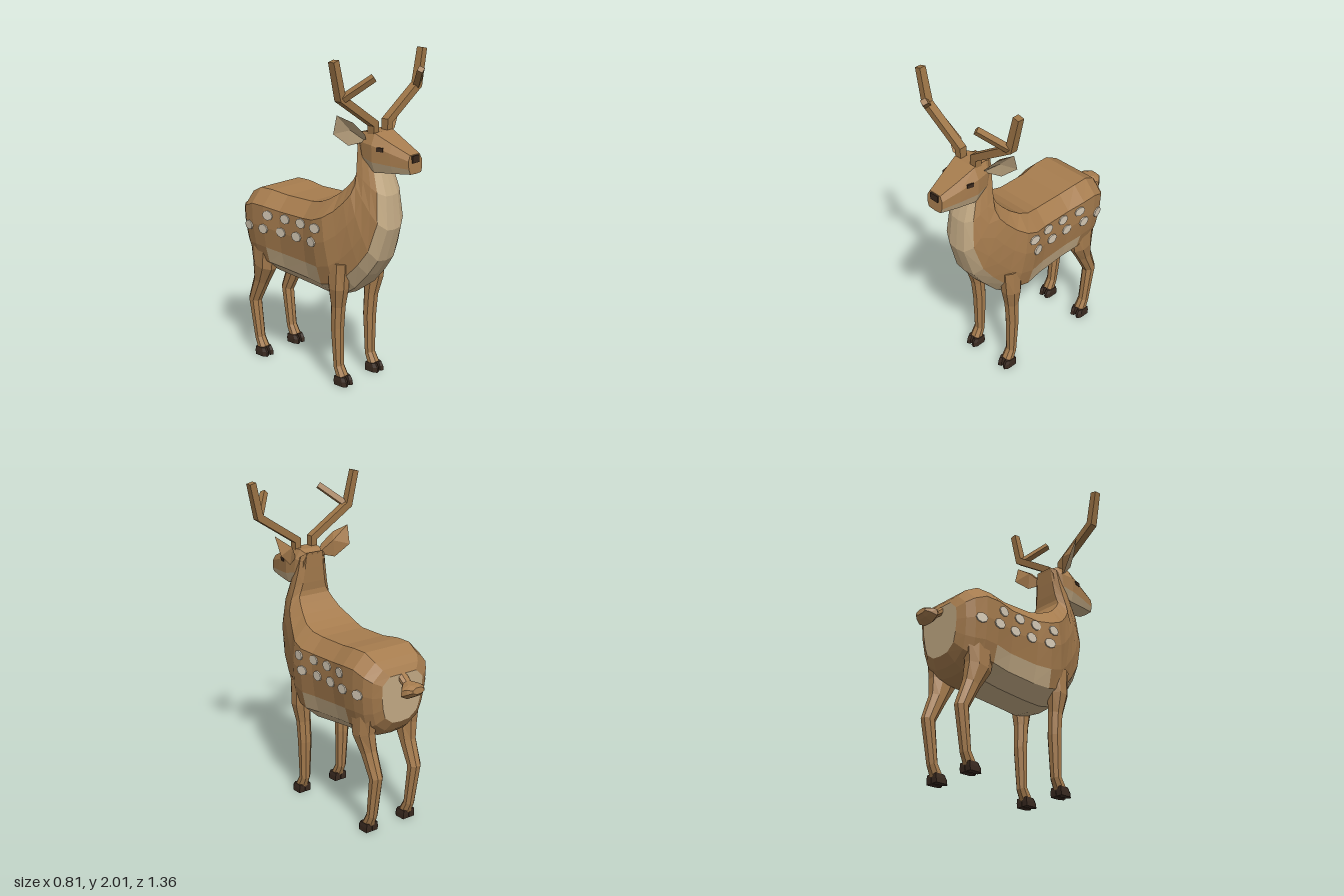
import * as THREE from 'three';

const mat = (name, color) => {
  const m = new THREE.MeshStandardMaterial({ color, flatShading: true });
  m.name = name;
  return m;
};
const coat = mat('coat brown', 0xa67c4e);
const cream = mat('cream fur', 0xc6ad87);
const spotWhite = mat('spot white', 0xd6cab6);
const antlerBrown = mat('antler brown', 0x9c7446);
const hoofDark = mat('hoof dark', 0x3a2a20);
const dark = mat('nose and eye dark', 0x3a291d);

const V = (x, y, z) => new THREE.Vector3(x, y, z);

// Closed faceted solid from triangle lists, one list per material, always facing outward
function solid(name, lists, materials) {
  let volume = 0;
  for (const l of lists)
    for (let i = 0; i < l.length; i += 3) volume += l[i].dot(l[i + 1].clone().cross(l[i + 2]));
  const geo = new THREE.BufferGeometry();
  const pts = [];
  lists.forEach((l, m) => {
    geo.addGroup(pts.length, l.length, m);
    for (let i = 0; i < l.length; i += 3)
      pts.push(l[i], ...(volume < 0 ? [l[i + 2], l[i + 1]] : [l[i + 1], l[i + 2]]));
  });
  geo.setFromPoints(pts);
  geo.computeVertexNormals();
  const mesh = new THREE.Mesh(geo, materials);
  mesh.name = name;
  return mesh;
}

// Skin over equal rings; pick(ring, side) gives the material index, ring -1 is the first cap
function loft(name, rings, materials, pick = () => 0) {
  const lists = materials.map(() => []);
  const n = rings[0].length;
  for (let r = 0; r < rings.length - 1; r++)
    for (let i = 0; i < n; i++) {
      const j = (i + 1) % n, a = rings[r], b = rings[r + 1];
      lists[pick(r, i)].push(a[i], a[j], b[j], a[i], b[j], b[i]);
    }
  [[rings[0], -1], [rings[rings.length - 1], rings.length - 1]].forEach(([ring, r]) => {
    const c = V(0, 0, 0);
    ring.forEach(p => c.addScaledVector(p, 1 / n));
    for (let i = 0; i < n; i++) {
      const j = (i + 1) % n;
      lists[pick(r, i)].push(c, ...(r < 0 ? [ring[j], ring[i]] : [ring[i], ring[j]]));
    }
  });
  return solid(name, lists, materials);
}

// Ring from a half profile [width, depth], hung between a top and a bottom point
function profileRing([tz, ty, bz, by, w], half) {
  const at = (s, [u, v]) => V(s * u * w, ty + (by - ty) * v, tz + (bz - tz) * v);
  return [...half.map(p => at(1, p)), ...half.slice(1, -1).reverse().map(p => at(-1, p))];
}

// Limb along points [x, y, z, radius across, radius along ref]
function sweep(name, path, sides, material, ref = V(0, 0, 1)) {
  const c = path.map(p => V(p[0], p[1], p[2]));
  const rings = path.map((p, k) => {
    const t = V(0, 0, 0);
    if (k > 0) t.add(c[k].clone().sub(c[k - 1]).normalize());
    if (k < c.length - 1) t.add(c[k + 1].clone().sub(c[k]).normalize());
    t.normalize();
    const n = t.clone().cross(ref).normalize(), b = n.clone().cross(t);
    return Array.from({ length: sides }, (_, i) => {
      const a = (i + 0.5) / sides * Math.PI * 2;
      return c[k].clone().addScaledVector(n, Math.cos(a) * p[3])
        .addScaledVector(b, Math.sin(a) * (p[4] ?? p[3]));
    });
  });
  return loft(name, rings, [material]);
}

// Body sections from rump to throat: top z, top y, bottom z, bottom y, half width
const BODY = [
  [-0.545, 1.0, -0.53, 0.70, 0.15], [-0.52, 1.04, -0.49, 0.64, 0.20],
  [-0.48, 1.08, -0.44, 0.60, 0.235], [-0.40, 1.12, -0.38, 0.585, 0.25],
  [-0.30, 1.12, -0.30, 0.575, 0.25], [-0.18, 1.105, -0.18, 0.56, 0.232],
  [0.02, 1.105, 0.02, 0.54, 0.232], [0.10, 1.12, 0.14, 0.53, 0.25],
  [0.17, 1.15, 0.24, 0.55, 0.245], [0.23, 1.19, 0.31, 0.60, 0.215],
  [0.28, 1.24, 0.40, 0.70, 0.19], [0.31, 1.28, 0.47, 0.80, 0.17],
  [0.315, 1.31, 0.53, 1.0, 0.145], [0.31, 1.36, 0.51, 1.2, 0.125],
  [0.305, 1.45, 0.46, 1.34, 0.105], [0.30, 1.55, 0.44, 1.42, 0.09],
];
const BODY_HALF = [[0, 0], [0.66, 0], [1, 0.16], [1, 0.4], [0.92, 0.65], [0.8, 0.84], [0.42, 0.98], [0, 1]];

const HEAD = [
  [0.30, 1.54, 0.32, 1.40, 0.08], [0.35, 1.565, 0.38, 1.36, 0.105],
  [0.44, 1.565, 0.45, 1.335, 0.115], [0.55, 1.515, 0.57, 1.345, 0.09],
  [0.665, 1.465, 0.675, 1.355, 0.06],
];
const HEAD_HALF = [[0, 0], [0.7, 0], [1, 0.28], [1, 0.7], [0.8, 0.97], [0, 1]];

// Flank half width and its slope at a given z
function flank(z) {
  const zs = BODY.map(r => r[0] + (r[2] - r[0]) * 0.3);
  let k = 0;
  while (zs[k + 1] < z) k++;
  const slope = (BODY[k + 1][4] - BODY[k][4]) / (zs[k + 1] - zs[k]);
  return [BODY[k][4] + slope * (z - zs[k]), slope];
}

function ear(s) {
  const P = (x, y, z) => V(s * x, y, z);
  const rim = [P(0.085, 1.51, 0.38), P(0.13, 1.56, 0.41), P(0.20, 1.635, 0.38),
    P(0.275, 1.68, 0.325), P(0.26, 1.565, 0.285), P(0.17, 1.49, 0.32)];
  const inner = P(0.175, 1.583, 0.337), back = P(0.155, 1.597, 0.317);
  const lists = [[], []];
  rim.forEach((p, i) => {
    const q = rim[(i + 1) % rim.length];
    lists[0].push(back, p, q);
    lists[1].push(inner, q, p);
  });
  return solid('ear', lists, [coat, cream]);
}

// Cloven hoof of two pointed toes
function hoof(x, z) {
  const g = new THREE.Group();
  g.name = 'hoof';
  const toe = [[-0.021, -0.042], [0.021, -0.042], [0.021, 0.025], [0.006, 0.048], [-0.016, 0.04]];
  for (const s of [-1, 1]) {
    const ring = (y, k, dz) => toe.map(([a, b]) => V(x + s * (0.023 + a * k), y, z + dz + b * k));
    g.add(loft('toe', [ring(0, 1, 0), ring(0.03, 0.98, -0.003), ring(0.055, 0.8, -0.01)], [hoofDark]));
  }
  return g;
}

export function createModel() {
  const deer = new THREE.Group();
  deer.name = 'deer';

  // Torso and neck with cream rump, belly, flank panel and chest
  deer.add(loft('body', BODY.map(r => profileRing(r, BODY_HALF)), [coat, cream], (r, i) => {
    const side = Math.min(i, 13 - i);
    if (r === -1) return 1;
    if (r >= 4 && side >= 5) return 1;
    return r >= 4 && r < 7 && side === 4 ? 1 : 0;
  }));

  // Head with cream chin, and nose
  deer.add(loft('head', HEAD.map(r => profileRing(r, HEAD_HALF)), [coat, cream],
    (r, i) => (r >= 1 && r < 4 && Math.min(i, 9 - i) >= 3 ? 1 : 0)));
  const nose = new THREE.Mesh(new THREE.BoxGeometry(0.06, 0.042, 0.009), dark);
  nose.name = 'nose';
  nose.position.set(0, 1.44, 0.671);
  deer.add(nose);

  // Tail
  deer.add(sweep('tail', [[0, 1.0, -0.51, 0.035, 0.025], [0, 0.95, -0.575, 0.033, 0.022],
    [0, 0.918, -0.625, 0.09, 0.048], [0, 0.93, -0.655, 0.07, 0.036], [0, 0.935, -0.68, 0.045, 0.02]],
  8, coat, V(0, 1, 0)));

  for (const s of [-1, 1]) {
    const M = path => path.map(([x, ...rest]) => [s * x, ...rest]);

    deer.add(ear(s));
    const eye = new THREE.Mesh(new THREE.BoxGeometry(0.009, 0.024, 0.042), dark);
    eye.name = 'eye';
    eye.position.set(s * 0.104, 1.482, 0.495);
    eye.rotation.y = -s * 0.22;
    deer.add(eye);

    // Antler beam and tine
    deer.add(sweep('antler', M([[0.06, 1.54, 0.41, 0.032], [0.062, 1.615, 0.41, 0.034],
      [0.335, 1.79, 0.405, 0.034], [0.384, 2.0, 0.4, 0.03]]), 4, antlerBrown));
    deer.add(sweep('antlerTine', M([[0.325, 1.79, 0.415, 0.026], [0.205, 1.905, 0.535, 0.024]]), 4, antlerBrown));

    // Legs
    deer.add(sweep('frontLeg', M([[0.165, 0.78, 0.24, 0.05, 0.08], [0.16, 0.62, 0.24, 0.06, 0.066],
      [0.15, 0.5, 0.23, 0.047, 0.045], [0.148, 0.36, 0.222, 0.045, 0.041],
      [0.145, 0.11, 0.23, 0.036, 0.032], [0.145, 0.045, 0.262, 0.04, 0.036]]), 8, coat));
    deer.add(sweep('hindLeg', M([[0.165, 0.78, -0.38, 0.055, 0.11], [0.16, 0.62, -0.385, 0.06, 0.088],
      [0.15, 0.51, -0.425, 0.048, 0.056], [0.148, 0.365, -0.488, 0.042, 0.044],
      [0.145, 0.11, -0.452, 0.036, 0.032], [0.145, 0.045, -0.42, 0.04, 0.036]]), 8, coat));
    deer.add(hoof(s * 0.145, 0.272), hoof(s * 0.145, -0.41));

    // Two rows of flank spots
    const rows = [[0.98, [0.13, 0, -0.13, -0.265]], [0.89, [0.1, -0.035, -0.165, -0.3, -0.43]]];
    for (const [y, zs] of rows)
      for (const z of zs) {
        const [x, slope] = flank(z);
        const geo = new THREE.CylinderGeometry(0.038, 0.038, 0.009, 8).rotateZ(Math.PI / 2).scale(1, 0.8, 1);
        const spot = new THREE.Mesh(geo, spotWhite);
        spot.name = 'spot';
        spot.position.set(s * (x + 0.003), y, z);
        spot.rotation.y = s * Math.atan(slope);
        deer.add(spot);
      }
  }
  return deer;
}
